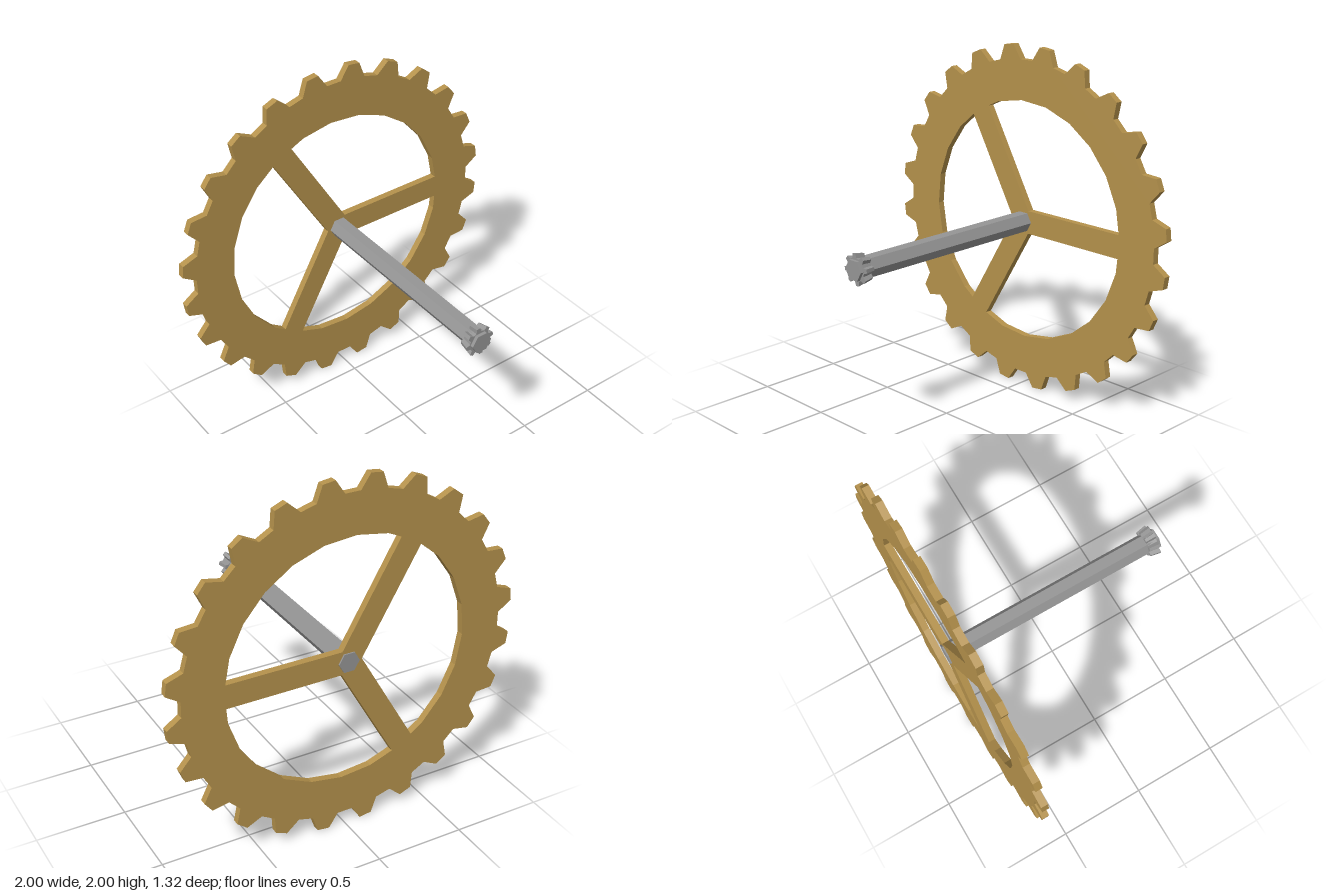
import * as THREE from 'three';

const polar = (r, deg) => {
  const a = THREE.MathUtils.degToRad(deg);
  return new THREE.Vector2(r * Math.cos(a), r * Math.sin(a));
};

// Outline with four points per tooth, counter-clockwise
function toothedOutline(teeth, offset, rootR, tipR, rootHalf, tipHalf) {
  const points = [];
  for (let i = 0; i < teeth; i++) {
    const mid = offset + (i * 360) / teeth;
    points.push(
      polar(rootR, mid - rootHalf), polar(tipR, mid - tipHalf),
      polar(tipR, mid + tipHalf), polar(rootR, mid + rootHalf)
    );
  }
  return points;
}

const extrude = (shape, depth) =>
  new THREE.ExtrudeGeometry(shape, { depth, bevelEnabled: false });

export function createModel() {
  const brass = new THREE.MeshStandardMaterial({ color: 0xb5924c });
  brass.name = 'brass';
  const steel = new THREE.MeshStandardMaterial({ color: 0x959595 });
  steel.name = 'steel';

  const model = new THREE.Group();
  model.name = 'gearOnAxle';
  const add = (name, geometry, material, z) => {
    const mesh = new THREE.Mesh(geometry, material);
    mesh.name = name;
    mesh.position.set(0, 1, z);
    model.add(mesh);
  };

  // Large gear wheel: 24 teeth, three openings leaving three straight spokes
  const wheel = new THREE.Shape(toothedOutline(24, 7.5, 0.923, 1.005, 4.8, 2));
  for (let i = 0; i < 3; i++) {
    const start = i * 120;
    const hole = [polar(0.077, start + 60), polar(0.691, start + 5.6)];
    for (let k = 1; k <= 7; k++) hole.push(polar(0.695, start + 2.4 + k * 15));
    hole.push(polar(0.689, start + 114.4));
    wheel.holes.push(new THREE.Path(hole.reverse()));
  }
  add('gearWheel', extrude(wheel, 0.04), brass, -0.65);

  // Hexagonal axle along z
  const hexagon = new THREE.Shape(Array.from({ length: 6 }, (_, i) => polar(0.06, i * 60)));
  add('axle', extrude(hexagon, 1.316), steel, -0.658);

  // Small pinion, narrowing towards the wheel
  const depth = 0.06;
  const pinion = extrude(new THREE.Shape(toothedOutline(8, 7.5, 0.064, 0.087, 14, 7)), depth);
  const p = pinion.attributes.position;
  for (let i = 0; i < p.count; i++) {
    const s = 0.87 + (0.13 * p.getZ(i)) / depth;
    p.setXY(i, p.getX(i) * s, p.getY(i) * s);
  }
  pinion.computeVertexNormals();
  add('pinion', pinion, steel, 0.58);

  return model;
}
